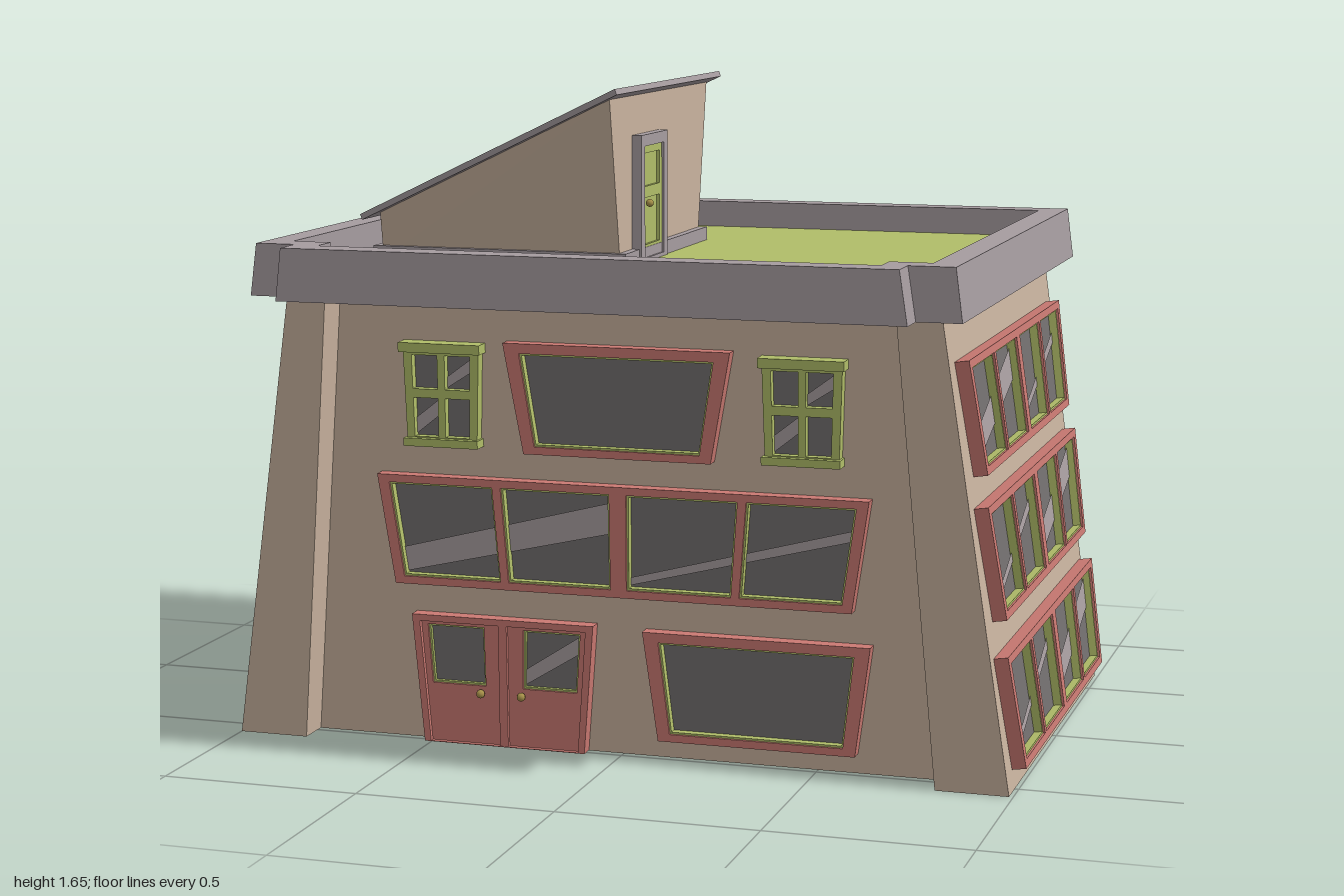
import * as THREE from 'three';

const mat = (name, color, side = THREE.FrontSide) => {
  const m = new THREE.MeshStandardMaterial({ color, side });
  m.name = name;
  return m;
};

export function createModel() {
  const plaster = mat('plaster', 0xc9b39f, THREE.DoubleSide);
  const stone = mat('stone', 0xa69ca0, THREE.DoubleSide);
  const green = mat('green', 0xb1be69);
  const red = mat('red', 0xcb7a73);
  const glass = mat('glass', 0x737070);
  const streak = mat('glassStreak', 0xaaa0a2);
  const brass = mat('brass', 0xa8924a);

  const model = new THREE.Group();
  const add = (parent, name, geo, material, x = 0, y = 0, z = 0) => {
    const mesh = new THREE.Mesh(geo, material);
    mesh.name = name;
    mesh.position.set(x, y, z);
    parent.add(mesh);
    return mesh;
  };

  // Flat-faced skin over a stack of closed loops, each a list of [x, y, z]
  const loft = (loops) => {
    const pos = [];
    for (let i = 0; i + 1 < loops.length; i++) {
      const lo = loops[i], hi = loops[i + 1];
      lo.forEach((a, j) => {
        const k = (j + 1) % lo.length;
        pos.push(...a, ...lo[k], ...hi[k], ...a, ...hi[k], ...hi[j]);
      });
    }
    const geo = new THREE.BufferGeometry();
    geo.setAttribute('position', new THREE.Float32BufferAttribute(pos, 3));
    geo.computeVertexNormals();
    return geo;
  };
  const quadFace = (a, b, c, d) => {
    const geo = new THREE.BufferGeometry();
    geo.setAttribute('position', new THREE.Float32BufferAttribute([...a, ...b, ...c, ...a, ...c, ...d], 3));
    geo.computeVertexNormals();
    return geo;
  };

  // Plan outline: left, right, back, front corners, and the stepped middle of the front
  const plan = (y, l, r, back, front, ml, mr, mid) =>
    [[l, front], [ml, front], [ml, mid], [mr, mid], [mr, front], [r, front], [r, back], [l, back]]
      .map(([x, z]) => [x, y, z]);
  const flat = (loop) =>
    new THREE.ShapeGeometry(new THREE.Shape(loop.map(([x, , z]) => new THREE.Vector2(x, -z)))).rotateX(-Math.PI / 2);

  // Tapering walls, open underneath
  add(model, 'walls', loft([
    plan(0, -1, 0.99, -0.645, 0.57, -0.82, 0.81, 0.48),
    plan(1.15, -0.83, 0.82, -0.69, 0.605, -0.73, 0.71, 0.51),
  ]), plaster);

  // Parapet and roof terrace
  const outer = plan(1.14, -0.895, 0.885, -0.77, 0.68, -0.79, 0.775, 0.765);
  const inner = plan(1.2, -0.81, 0.8, -0.7, 0.61, -0.71, 0.695, 0.69);
  add(model, 'parapet', loft([
    outer,
    plan(1.27, -0.878, 0.868, -0.77, 0.68, -0.775, 0.755, 0.765),
    inner.map(([x, , z]) => [x, 1.27, z]),
    inner,
  ]), stone);
  add(model, 'parapetUnderside', flat(outer), stone, 0, 1.14, 0);
  add(model, 'terrace', flat(inner), green, 0, 1.2, 0);

  // Trapezoid opening: s runs -1..1 across, f runs 0..1 upward
  const point = (w, s, f) =>
    new THREE.Vector2(w.cx + s * (w.hb + (w.ht - w.hb) * f), w.y0 + (w.y1 - w.y0) * f);
  const quad = (w, [s0, s1, f0, f1]) =>
    [point(w, s0, f0), point(w, s1, f0), point(w, s1, f1), point(w, s0, f1)];
  const extrude = (outline, holes, depth) => {
    const shape = new THREE.Shape(outline);
    shape.holes = holes.map((h) => new THREE.Path(h));
    return new THREE.ExtrudeGeometry(shape, { depth, bevelEnabled: false });
  };

  // Framed window: panes are [s0, s1, f0, f1]; streaks are [s0, s1, left f0, left f1, right f0, right f1]
  const addWindow = (parent, name, w, panes, frameMat, streaks = [], depth = 0.035) => {
    const g = new THREE.Group();
    g.name = name;
    parent.add(g);
    add(g, 'frame', extrude(quad(w, [-1, 1, 0, 1]), panes.map((p) => quad(w, p)), depth), frameMat);
    const ds = 0.005 / w.ht, df = 0.005 / (w.y1 - w.y0);
    for (const p of panes) {
      add(g, 'pane', new THREE.ShapeGeometry(new THREE.Shape(quad(w, p))), glass, 0, 0, 0.008);
      if (frameMat === red) {
        const hole = quad(w, [p[0] + ds, p[1] - ds, p[2] + df, p[3] - df]);
        add(g, 'innerLining', extrude(quad(w, p), [hole], depth - 0.006), green);
      }
    }
    for (const [s0, s1, a, b, c, d] of streaks) {
      const pts = [point(w, s0, a), point(w, s1, c), point(w, s1, d), point(w, s0, b)];
      add(g, 'streak', new THREE.ShapeGeometry(new THREE.Shape(pts)), streak, 0, 0, 0.012);
    }
    return g;
  };

  const widePanes = [[-0.955, -0.52], [-0.485, -0.035], [0.035, 0.485], [0.52, 0.955]]
    .map(([a, b]) => [a, b, 0.07, 0.93]);
  const thick = [0.1, 0.32, 0.56, 0.84], thin = [0.1, 0.17, 0.62, 0.72];
  const wideWindow = (parent, name, cx, ht, y0, thickFirst) =>
    addWindow(parent, name, { cx, ht, hb: ht * 0.932, y0, y1: y0 + 0.278 }, widePanes, red, [
      [-0.955, -0.035, ...(thickFirst ? thick : thin)],
      [0.035, 0.955, ...(thickFirst ? thin : thick)],
    ]);

  // Front facade, leaning with its wall
  const front = new THREE.Group();
  front.name = 'frontFacade';
  front.position.z = 0.48;
  front.rotation.x = Math.atan(0.03 / 1.15);
  model.add(front);
  wideWindow(front, 'middleFrontWindow', 0.002, 0.632, 0.407, true);
  const single = [[-0.87, 0.87, 0.07, 0.91]];
  addWindow(front, 'upperFrontWindow', { cx: 0, hb: 0.24, ht: 0.29, y0: 0.755, y1: 1.03 }, single, red);
  addWindow(front, 'lowerFrontWindow', { cx: 0.35, hb: 0.25, ht: 0.288, y0: 0.05, y1: 0.325 }, single, red);

  // Small green windows
  for (const cx of [-0.455, 0.467]) {
    const w = { cx, hb: 0.092, ht: 0.1, y0: 0.765, y1: 1.015 };
    const panes = [];
    for (const [s0, s1] of [[-0.78, -0.1], [0.1, 0.78]])
      for (const [f0, f1] of [[0.08, 0.47], [0.56, 0.9]]) panes.push([s0, s1, f0, f1]);
    const g = addWindow(front, 'smallWindow', w, panes, green, [
      [-0.78, -0.1, 0.1, 0.26, 0.3, 0.46],
      [0.1, 0.78, 0.57, 0.68, 0.74, 0.88],
    ], 0.03);
    add(g, 'lintel', new THREE.BoxGeometry(0.214, 0.024, 0.045), green, cx, 1.01, 0.022);
    add(g, 'sill', new THREE.BoxGeometry(0.196, 0.02, 0.045), green, cx, 0.772, 0.022);
  }

  // Double entrance door
  const d = { cx: -0.305, hb: 0.213, ht: 0.24, y0: 0.001, y1: 0.33 };
  const entrance = addWindow(front, 'entranceDoor', d,
    [[-0.85, -0.22, 0.46, 0.92], [0.22, 0.85, 0.46, 0.92]], red,
    [[0.22, 0.85, 0.48, 0.6, 0.76, 0.9]], 0.024);
  add(entrance, 'doorSurround', extrude(quad(d, [-1, 1, 0, 1]), [quad(d, [-0.92, 0.92, 0.005, 0.95])], 0.036), red);
  add(entrance, 'centerStrip', new THREE.BoxGeometry(0.022, 0.315, 0.034), red, d.cx, 0.159, 0.017);
  for (const x of [-0.365, -0.257])
    add(entrance, 'knob', new THREE.SphereGeometry(0.011, 10, 8), brass, x, 0.135, 0.036);

  // Right facade: three rows of wide windows
  const right = new THREE.Group();
  right.name = 'rightFacade';
  right.position.x = 0.99;
  right.rotation.order = 'YXZ';
  right.rotation.set(-Math.atan(0.17 / 1.15), Math.PI / 2, 0);
  right.scale.y = 1.011;
  model.add(right);
  [0.047, 0.405, 0.752].forEach((y, i) => wideWindow(right, 'sideWindow', 0.047, 0.588, y, i === 2));

  // Rooftop hut with walls that widen upward
  const hut = new THREE.Group();
  hut.name = 'rooftopHut';
  model.add(hut);
  const ring = (l, r, yl, yr, zl, zr) => [[l, yl, zl], [r, yr, zr], [r, yr, -zr], [l, yl, -zl]];
  add(hut, 'hutWalls', loft([
    ring(-0.69, -0.055, 1.2, 1.2, 0.325, 0.33),
    ring(-0.69, -0.055, 1.321, 1.62, 0.345, 0.41),
  ]), plaster);
  add(hut, 'skirting', loft([
    ring(-0.71, -0.035, 1.2, 1.2, 0.345, 0.35),
    ring(-0.71, -0.035, 1.235, 1.235, 0.345, 0.35),
    ring(-0.69, -0.055, 1.235, 1.235, 0.325, 0.33),
  ]), stone);
  const under = ring(-0.725, -0.025, 1.303, 1.633, 0.38, 0.445);
  const top = ring(-0.73, -0.03, 1.317, 1.647, 0.38, 0.445);
  add(hut, 'roofEdge', loft([under, top]), stone);
  add(hut, 'roofUnderside', quadFace(...[...under].reverse()), stone);
  add(hut, 'roofTop', quadFace(...top), green);

  // Hut door, facing +x
  const door = new THREE.Group();
  door.name = 'hutDoor';
  door.position.set(-0.056, 1.2, 0.127);
  door.rotation.y = Math.PI / 2;
  hut.add(door);
  const f = { cx: 0, hb: 0.109, ht: 0.109, y0: 0, y1: 0.32 };
  add(door, 'doorFrame', extrude(quad(f, [-1, 1, 0, 1]), [quad(f, [-0.72, 0.72, 0.03, 0.91])], 0.026), stone);
  add(door, 'doorLeaf', extrude(quad(f, [-0.72, 0.72, 0.03, 0.91]),
    [quad(f, [-0.55, 0.55, 0.13, 0.5]), quad(f, [-0.55, 0.55, 0.59, 0.85])], 0.02), green);
  add(door, 'doorPanels', new THREE.BoxGeometry(0.15, 0.27, 0.012), green, 0, 0.15, 0.006);
  add(door, 'knob', new THREE.SphereGeometry(0.01, 10, 8), brass, -0.053, 0.147, 0.03);

  return model;
}
